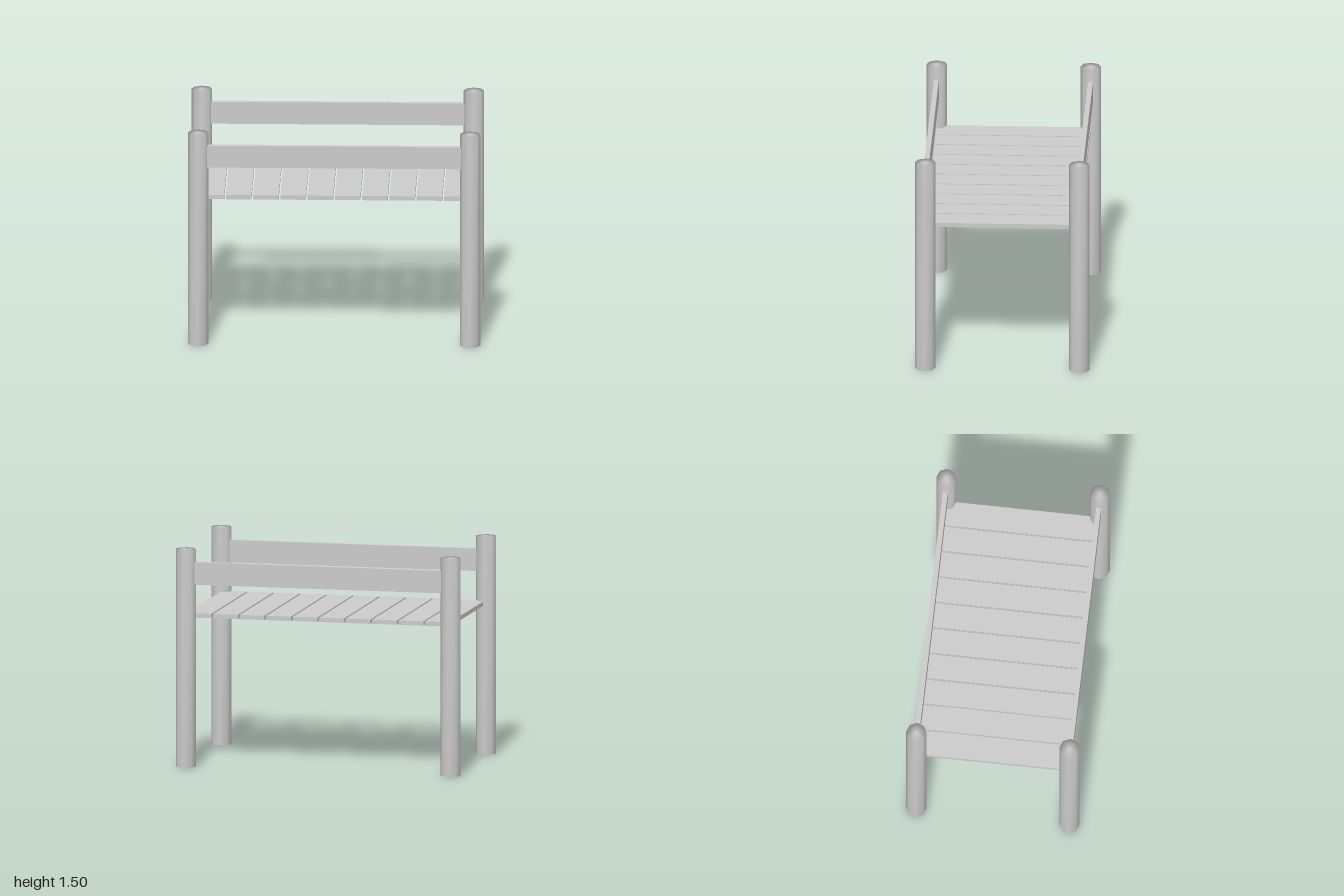
import * as THREE from 'three';
import { mergeVertices } from 'three/addons/utils/BufferGeometryUtils.js';

const material = new THREE.MeshStandardMaterial({ color: 0xcccccc });

function add(parent, name, geometry, x, y, z) {
  const mesh = new THREE.Mesh(geometry, material);
  mesh.name = name;
  mesh.position.set(x, y, z);
  parent.add(mesh);
}

// Eight-sided post with normals smoothed across the caps
function postGeometry(radius, height) {
  const geo = new THREE.CylinderGeometry(radius, radius, height, 8);
  geo.deleteAttribute('normal');
  geo.deleteAttribute('uv');
  const merged = mergeVertices(geo, 1e-4);
  merged.computeVertexNormals();
  return merged;
}

export function createModel() {
  const group = new THREE.Group();
  group.name = 'slattedPlatform';
  const postX = 0.93, postZ = 0.527, postHeight = 1.505;

  // Corner posts and the side rails between them
  const post = postGeometry(0.07, postHeight);
  const rail = new THREE.BoxGeometry(2 * postX, 0.155, 0.034);
  for (const [end, sz] of [['front', 1], ['back', -1]]) {
    for (const [side, sx] of [['Left', 1], ['Right', -1]]) {
      add(group, `${end}${side}Post`, post, sx * postX, postHeight / 2, sz * postZ);
    }
    add(group, `${end}Rail`, rail, 0, 1.338, sz * postZ);
  }

  // Deck of ten planks with narrow gaps
  const deck = new THREE.Group();
  deck.name = 'deck';
  group.add(deck);
  const count = 10, pitch = 0.1863, gap = 0.012;
  const plank = new THREE.BoxGeometry(pitch - gap, 0.03, 2 * postZ);
  for (let i = 0; i < count; i++) {
    add(deck, `plank${i + 1}`, plank, (i - (count - 1) / 2) * pitch, 1.045, 0);
  }
  return group;
}
